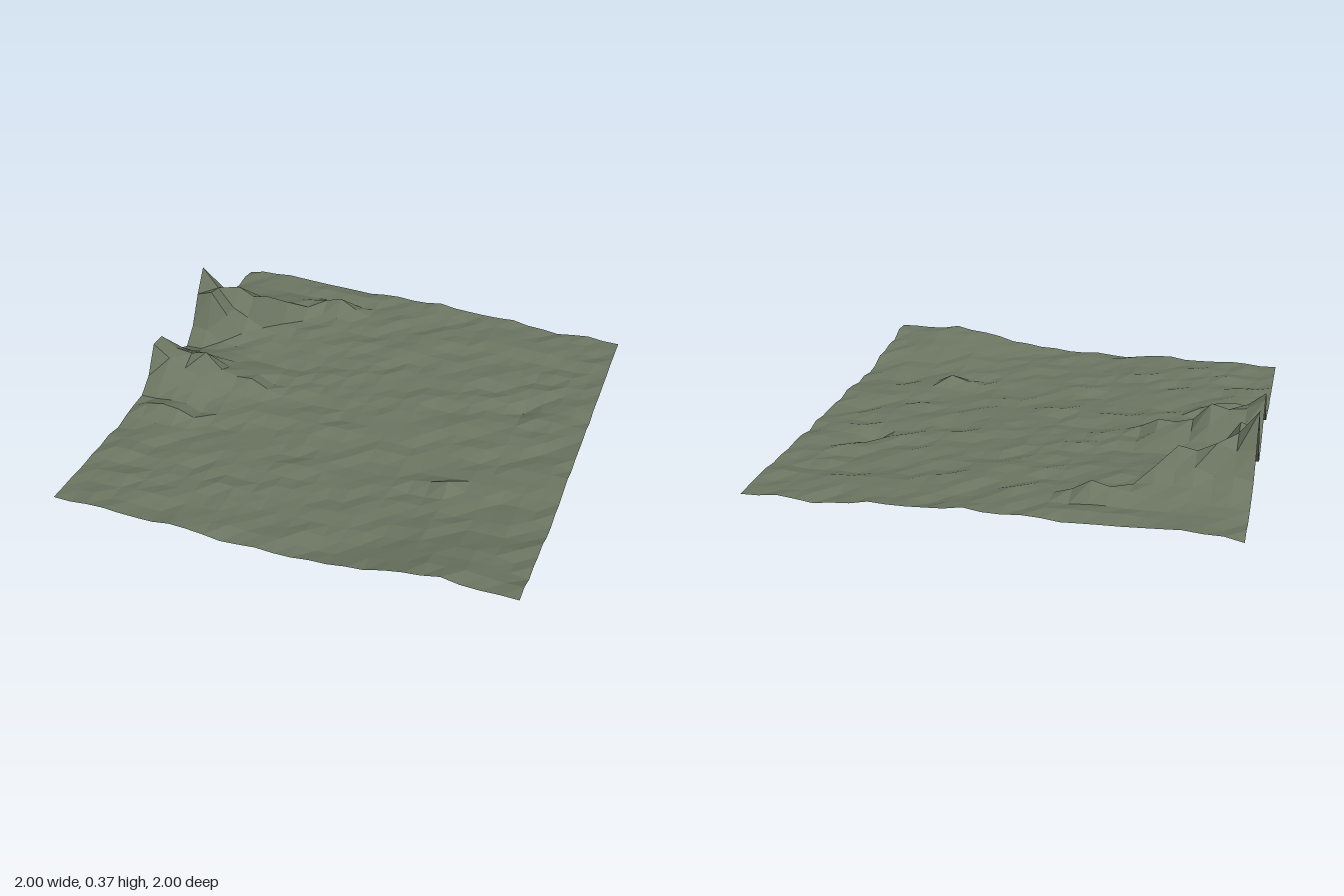
import * as THREE from 'three';

const SEGMENTS = 26;

// Heights of the rocky ridges, from the -x edge inward, keyed by grid row.
const RIDGE_ROWS = {
  3: [0.08, 0.085, 0.085, 0.09, 0.1, 0.1, 0.11, 0.125, 0.145, 0.1, 0.075],
  4: [0.1, 0.115, 0.11, 0.115, 0.115, 0.12, 0.11, 0.08, 0.075, 0.065],
  5: [0.13, 0.15, 0.14, 0.17, 0.16, 0.165, 0.07],
  6: [0.24, 0.22, 0.25, 0.21, 0.225, 0.08],
  7: [0.37, 0.27, 0.17, 0.13, 0.085],
  8: [0.26, 0.285, 0.17, 0.08],
  9: [0.12, 0.11, 0.06],
  11: [0.08, 0.085, 0.085, 0.08, 0.07, 0.07, 0.065],
  12: [0.15, 0.14, 0.135, 0.13, 0.09, 0.09, 0.08],
  13: [0.24, 0.19, 0.18, 0.2, 0.12, 0.1, 0.105, 0.065],
  14: [0.24, 0.18, 0.14, 0.11, 0.09, 0.06],
  15: [0.11, 0.12, 0.09, 0.08],
  16: [0.05, 0.05, 0.06, 0.06],
  17: [0.045, 0.075, 0.09, 0.08, 0.05],
};

// Repeatable value between -1 and 1 for a grid point
function hash(i, j) {
  const s = Math.sin(i * 127.1 + j * 311.7) * 43758.5453;
  return (s - Math.floor(s)) * 2 - 1;
}

// Gentle plain: uneven ground, rising to the back right and the front left corner
function plainHeight(i, j) {
  const { smoothstep } = THREE.MathUtils;
  const x = (i / SEGMENTS) * 2 - 1;
  const z = (j / SEGMENTS) * 2 - 1;
  const backRise = 0.034 * Math.max(0, 0.3 - z) * (1 - 0.75 * smoothstep(x, -0.2, 0.9));
  const cornerRise = smoothstep(x, 0.1, 0.7)
    * (0.045 * smoothstep(z, 0.5, 0.8) + 0.035 * smoothstep(z, 0.8, 1));
  const rough = 0.008 * (hash(i, j) + hash(i + 1, j) + 0.5 * hash(i - 1, j + 1));
  return Math.max(0, 0.033 + backRise + cornerRise + rough);
}

export function createModel() {
  const group = new THREE.Group();
  group.name = 'landscape';

  // Ground sheet, with every grid point lifted to its height
  const geometry = new THREE.PlaneGeometry(2, 2, SEGMENTS, SEGMENTS);
  geometry.rotateX(-Math.PI / 2);
  const position = geometry.attributes.position;
  const setHeight = (i, j, y) => position.setY(j * (SEGMENTS + 1) + i, y);
  for (let j = 0; j <= SEGMENTS; j++) {
    for (let i = 0; i <= SEGMENTS; i++) {
      setHeight(i, j, RIDGE_ROWS[j]?.[i] ?? plainHeight(i, j));
    }
  }
  // Small mound on the plain
  setHeight(19, 18, 0.055);
  setHeight(20, 18, 0.08);

  // Lowest hollow, touching the ground
  setHeight(22, 9, 0);
  geometry.computeVertexNormals();

  const material = new THREE.MeshStandardMaterial({
    color: 0x6b7561,
    flatShading: true,
    side: THREE.DoubleSide,
  });
  const terrain = new THREE.Mesh(geometry, material);
  terrain.name = 'terrain';
  group.add(terrain);
  return group;
}
